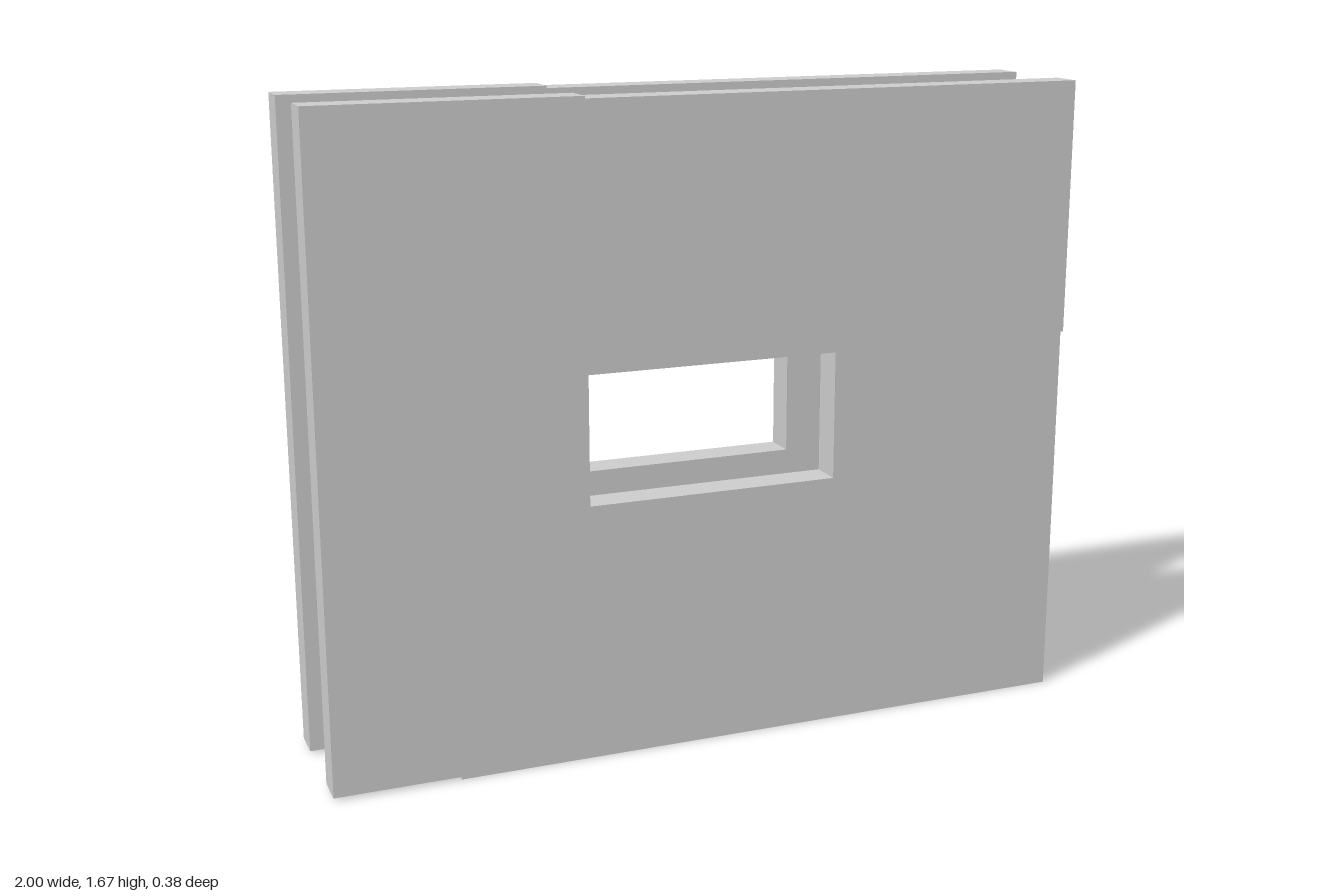
import * as THREE from 'three';

const THICKNESS = 0.086;
const INNER_Z = 0.102; // half the gap between the panels

// Panel outline with slight steps where its sections meet, and a window
function panelShape() {
  const outline = [
    [-1, 0.007], [-0.68, 0.007], [-0.68, 0], [0.992, 0], [0.992, 1],
    [1, 1], [1, 1.662], [-0.335, 1.662], [-0.335, 1.668], [-1, 1.668],
  ];
  const opening = [[-0.335, 0.668], [-0.335, 1], [0.327, 1], [0.327, 0.668]];
  const toPoints = (list) => list.map(([x, y]) => new THREE.Vector2(x, y));
  const shape = new THREE.Shape(toPoints(outline));
  shape.holes.push(new THREE.Path(toPoints(opening)));
  return shape;
}

export function createModel() {
  const group = new THREE.Group();
  group.name = 'doublePanelWall';
  const material = new THREE.MeshStandardMaterial({ color: 0xcccccc, flatShading: true });
  const geometry = new THREE.ExtrudeGeometry(panelShape(), { depth: THICKNESS, bevelEnabled: false });

  // Two identical parallel panels
  for (const [name, z] of [['frontPanel', INNER_Z], ['backPanel', -INNER_Z - THICKNESS]]) {
    const panel = new THREE.Mesh(geometry, material);
    panel.name = name;
    panel.position.z = z;
    group.add(panel);
  }
  return group;
}
